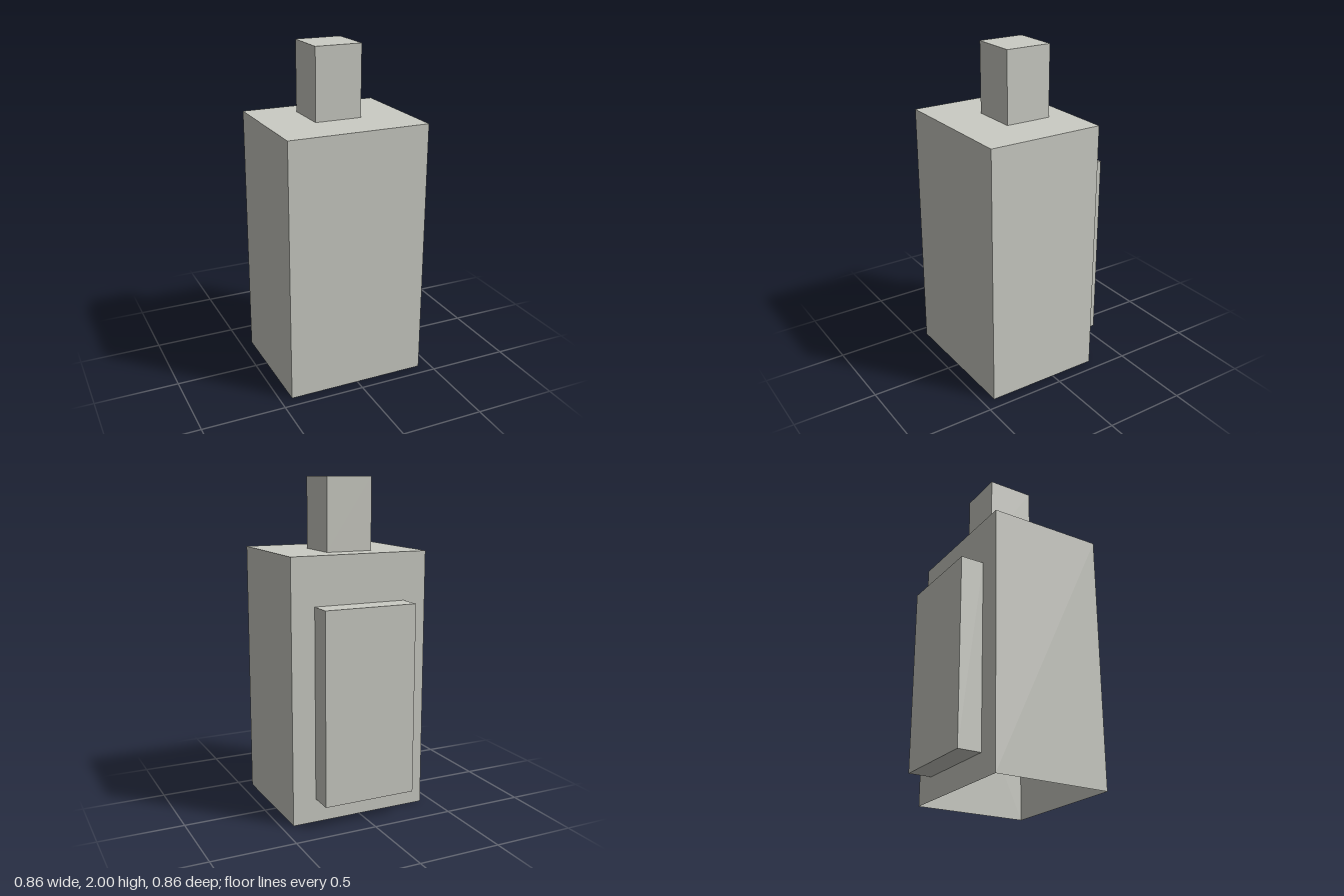
import * as THREE from 'three';

const U = 2 / 14; // the model sits on a grid 14 units tall

export function createModel() {
  const group = new THREE.Group();
  const grey = new THREE.MeshStandardMaterial({ color: 0xcbccc4, side: THREE.DoubleSide });
  grey.name = 'light warm grey';

  // Box given by its min and max corners in grid units
  const addBox = (name, [x0, y0, z0], [x1, y1, z1], openBottom = false) => {
    const geometry = new THREE.BoxGeometry((x1 - x0) * U, (y1 - y0) * U, (z1 - z0) * U);
    if (openBottom) {
      // Drop the two triangles of the downward side
      const index = Array.from(geometry.index.array);
      index.splice(18, 6);
      geometry.setIndex(index);
      geometry.clearGroups();
    }
    const mesh = new THREE.Mesh(geometry, grey);
    mesh.name = name;
    mesh.position.set((x0 + x1) / 2 * U, (y0 + y1) / 2 * U, (z0 + z1) / 2 * U);
    group.add(mesh);
  };

  // Hollow body, open underneath
  addBox('body', [-3, 0, -2], [3, 11, 3], true);
  // Square stub on top
  addBox('topStub', [-1, 11, -1], [1, 14, 1]);
  // Raised panel on the back
  addBox('backPanel', [-2, 1, -3], [2, 9, -2]);

  return group;
}
